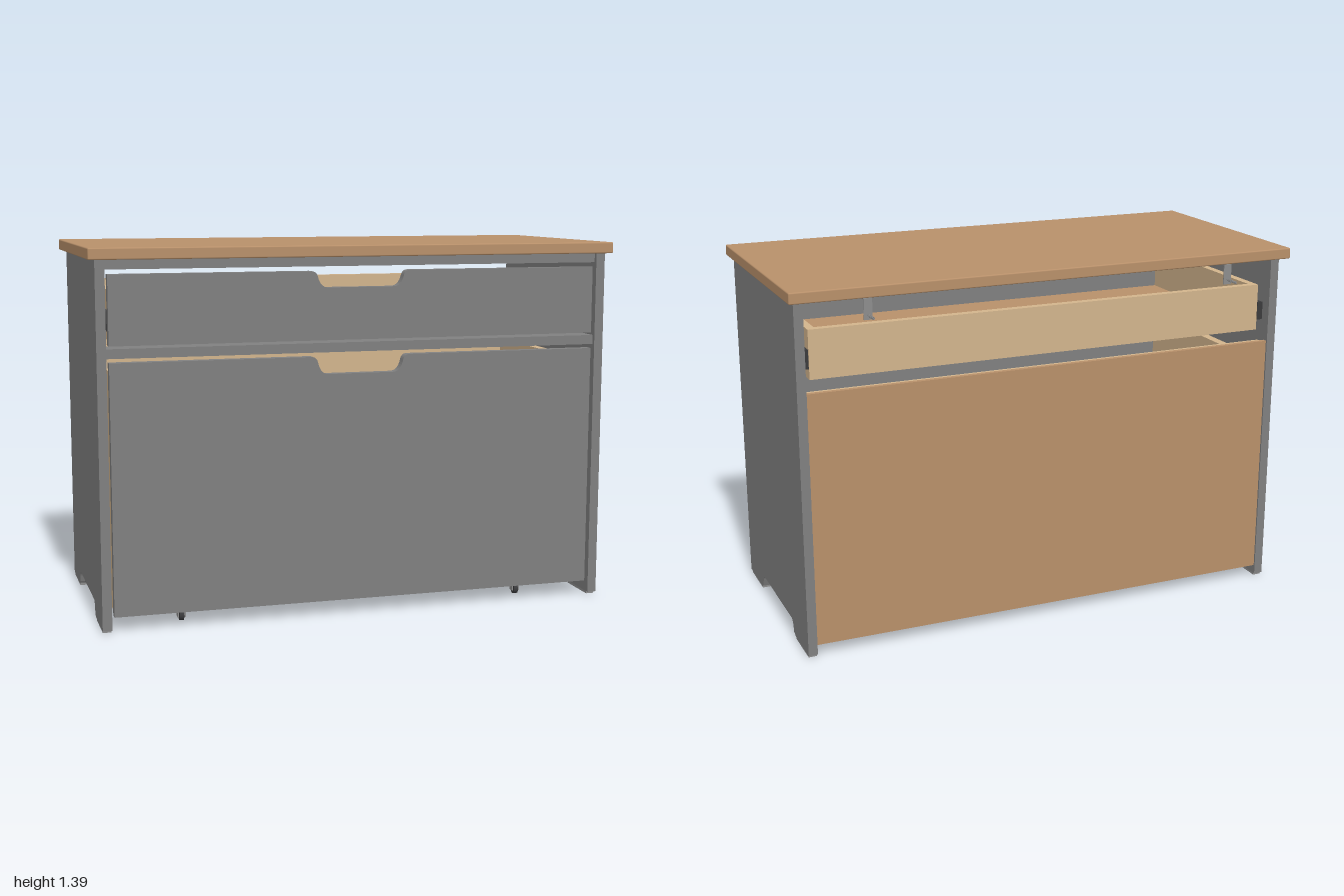
import * as THREE from 'three';
import { RoundedBoxGeometry } from 'three/addons/geometries/RoundedBoxGeometry.js';

const mat = (name, color) => {
  const m = new THREE.MeshStandardMaterial({ color });
  m.name = name;
  return m;
};

export function createModel() {
  const root = new THREE.Group();
  root.name = 'storageCabinet';
  const grey = mat('greyPaint', 0x808080);
  const wood = mat('warmWood', 0xb8906a);
  const ply = mat('lightPlywood', 0xd2b48c);
  const metal = mat('metal', 0x8c8c8c);
  const dark = mat('darkMetal', 0x3a3a3c);

  const add = (name, geo, material, parent = root) => {
    const mesh = new THREE.Mesh(geo, material);
    mesh.name = name;
    parent.add(mesh);
    return mesh;
  };
  // Box given by its limits on each axis
  const box = (name, material, [x0, x1], [y0, y1], [z0, z1], parent = root) => {
    const mesh = add(name, new THREE.BoxGeometry(x1 - x0, y1 - y0, z1 - z0), material, parent);
    mesh.position.set((x0 + x1) / 2, (y0 + y1) / 2, (z0 + z1) / 2);
    return mesh;
  };
  // The same box on both sides of x = 0
  const pair = (name, material, [x0, x1], y, z, parent) => {
    box(name + 'Left', material, [x0, x1], y, z, parent);
    box(name + 'Right', material, [-x1, -x0], y, z, parent);
  };

  // Worktop
  const top = add('worktop', new RoundedBoxGeometry(2, 0.042, 0.935, 2, 0.005), wood);
  top.position.set(0, 1.366, 0.0325);

  // Side panels with a cut-out between the feet, drawn in z and y
  const side = new THREE.Shape();
  side.moveTo(-0.395, 0.01);
  side.lineTo(-0.215, 0.01);
  side.lineTo(-0.195, 0.02);
  side.lineTo(-0.188, 0.045);
  side.quadraticCurveTo(-0.182, 0.067, -0.16, 0.067);
  side.lineTo(0.24, 0.067);
  side.quadraticCurveTo(0.262, 0.067, 0.266, 0.045);
  side.lineTo(0.276, 0.016);
  side.lineTo(0.295, 0.01);
  side.lineTo(0.48, 0.01);
  side.lineTo(0.48, 1.345);
  side.lineTo(-0.395, 1.345);
  side.closePath();
  const sideGeo = new THREE.ExtrudeGeometry(side, { depth: 0.035, bevelEnabled: false, curveSegments: 6 });
  sideGeo.rotateY(-Math.PI / 2);
  add('sidePanelLeft', sideGeo, grey).position.x = 0.975;
  add('sidePanelRight', sideGeo, grey).position.x = -0.94;
  pair('frontFootPad', metal, [0.942, 0.973], [0, 0.01], [0.295, 0.465]);
  pair('rearFootPad', metal, [0.942, 0.973], [0, 0.01], [-0.385, -0.215]);

  // Frame rails and back panel
  box('topRail', grey, [-0.94, 0.94], [1.31, 1.345], [0.37, 0.465]);
  box('middleRail', grey, [-0.94, 0.94], [0.995, 1.03], [0.37, 0.465]);
  box('rearRail', ply, [-0.94, 0.94], [0.965, 1.0], [-0.37, -0.325]);
  box('backPanel', wood, [-0.94, 0.94], [0.045, 1.01], [-0.388, -0.37]);

  // Front board with a rounded finger notch in its top edge
  const frontBoard = (name, y0, y1, depth, parent) => {
    const s = new THREE.Shape();
    const yb = y1 - depth;
    s.moveTo(-0.93, y0);
    s.lineTo(0.93, y0);
    s.lineTo(0.93, y1);
    s.lineTo(0.19, y1);
    s.quadraticCurveTo(0.17, y1, 0.165, y1 - 0.02);
    s.quadraticCurveTo(0.155, yb, 0.125, yb);
    s.lineTo(-0.125, yb);
    s.quadraticCurveTo(-0.155, yb, -0.165, y1 - 0.02);
    s.quadraticCurveTo(-0.17, y1, -0.19, y1);
    s.lineTo(-0.93, y1);
    s.closePath();
    const geo = new THREE.ExtrudeGeometry(s, { depth: 0.035, bevelEnabled: false, curveSegments: 8 });
    add(name, geo, grey, parent).position.z = 0.435;
  };

  // Upper drawer
  const drawer = new THREE.Group();
  drawer.name = 'drawer';
  root.add(drawer);
  frontBoard('drawerFront', 1.04, 1.293, 0.06, drawer);
  pair('drawerSide', ply, [0.885, 0.915], [1.05, 1.232], [-0.35, 0.434], drawer);
  box('drawerBack', ply, [-0.885, 0.885], [1.05, 1.232], [-0.35, -0.32], drawer);
  box('drawerBottom', wood, [-0.885, 0.885], [1.06, 1.072], [-0.32, 0.434], drawer);
  pair('drawerSlide', dark, [0.916, 0.94], [1.09, 1.16], [-0.35, 0.43], drawer);

  // Rolling bin
  const bin = new THREE.Group();
  bin.name = 'rollingBin';
  root.add(bin);
  frontBoard('binFront', 0.055, 0.98, 0.065, bin);
  pair('binSide', ply, [0.885, 0.92], [0.055, 0.94], [-0.35, 0.434], bin);
  box('binBack', ply, [-0.885, 0.885], [0.1, 0.96], [-0.35, -0.32], bin);
  box('binBottom', wood, [-0.885, 0.885], [0.098, 0.115], [-0.35, 0.434], bin);
  pair('casterBoard', ply, [0.58, 0.74], [0.055, 0.098], [-0.35, 0.434], bin);

  // Casters under the bin
  const wheelGeo = new THREE.CylinderGeometry(0.019, 0.019, 0.016, 20).rotateZ(Math.PI / 2);
  for (const x of [-0.67, 0.67]) {
    for (const z of [-0.21, 0.38]) {
      const caster = new THREE.Group();
      caster.name = 'caster';
      caster.position.set(x, 0, z);
      bin.add(caster);
      box('casterPlate', metal, [-0.026, 0.026], [0.049, 0.055], [-0.026, 0.026], caster);
      box('casterForkTop', metal, [-0.016, 0.016], [0.04, 0.049], [-0.014, 0.014], caster);
      pair('casterFork', metal, [0.011, 0.015], [0.014, 0.042], [-0.012, 0.012], caster);
      add('casterWheel', wheelGeo, dark, caster).position.y = 0.019;
    }
  }

  // Wall brackets and screws at the rear of the worktop
  const shankGeo = new THREE.CylinderGeometry(0.003, 0.003, 0.07, 8).rotateX(Math.PI / 2);
  const headGeo = new THREE.CylinderGeometry(0.011, 0.007, 0.006, 12).rotateX(Math.PI / 2);
  const threadGeo = new THREE.TorusGeometry(0.004, 0.0015, 4, 10);
  for (const x of [-0.72, 0.72]) {
    const bracket = new THREE.Group();
    bracket.name = 'wallBracket';
    bracket.position.x = x;
    root.add(bracket);
    box('bracketTopPlate', metal, [-0.016, 0.016], [1.341, 1.345], [-0.435, -0.37], bracket);
    box('bracketBackPlate', metal, [-0.016, 0.016], [1.268, 1.345], [-0.435, -0.431], bracket);
    add('screwShank', shankGeo, metal, bracket).position.set(0, 1.286, -0.465);
    add('screwHead', headGeo, metal, bracket).position.set(0, 1.286, -0.428);
    for (let i = 0; i < 7; i++) {
      add('screwThread', threadGeo, metal, bracket).position.set(0, 1.286, -0.445 - i * 0.008);
    }
  }

  return root;
}
